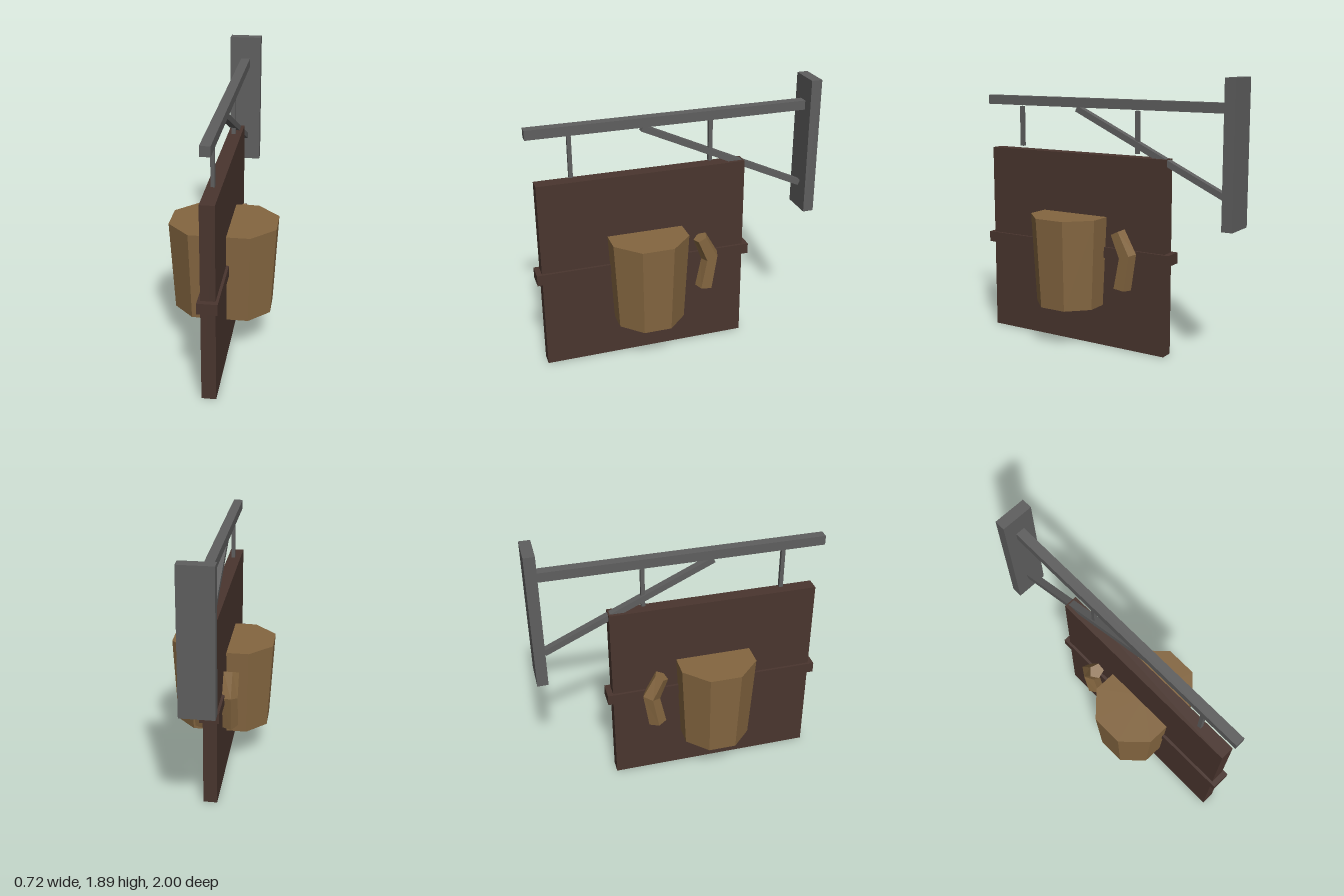
import * as THREE from 'three';

export function createModel() {
  const model = new THREE.Group();
  model.name = 'hangingTavernSign';

  const mat = (name, color) => {
    const m = new THREE.MeshStandardMaterial({ color, flatShading: true });
    m.name = name;
    return m;
  };
  const iron = mat('iron', 0x5e5e5e);
  const darkWood = mat('darkWood', 0x49352e);
  const lightWood = mat('lightWood', 0x846640);

  const add = (name, geometry, material, x = 0, y = 0, z = 0) => {
    const mesh = new THREE.Mesh(geometry, material);
    mesh.name = name;
    mesh.position.set(x, y, z);
    model.add(mesh);
    return mesh;
  };
  // Box given by its width and its y and z ranges
  const slab = (name, material, w, y0, y1, z0, z1) =>
    add(name, new THREE.BoxGeometry(w, y1 - y0, z1 - z0), material, -0.003, (y0 + y1) / 2, (z0 + z1) / 2);

  // Wall bracket
  slab('wallPlate', iron, 0.226, 0.93, 1.89, -1, -0.925);
  slab('beam', iron, 0.066, 1.665, 1.73, -0.925, 1);
  const brace = add('brace', new THREE.BoxGeometry(0.048, 0.042, 1.27), iron, -0.003, 1.388, -0.345);
  brace.rotation.x = -0.435;
  for (const z of [0.715, -0.248]) slab('hanger', iron, 0.026, 1.37, 1.657, z - 0.0135, z + 0.0135);

  // Sign board with its cross band
  slab('board', darkWood, 0.095, 0, 1.35, -0.487, 0.955);
  slab('band', darkWood, 0.132, 0.64, 0.715, -0.527, 0.992);

  // Mug: tapered octagon, its two halves pushed apart to stand out of both faces
  const c = Math.cos(Math.PI / 8);
  const mug = new THREE.CylinderGeometry(0.265 / c, 0.232 / c, 0.632, 8, 1);
  mug.rotateY(Math.PI / 8);
  const p = mug.attributes.position;
  for (let i = 0; i < p.count; i++) {
    const x = p.getX(i);
    if (Math.abs(x) > 0.001) p.setX(i, x + Math.sign(x) * 0.095);
  }
  mug.computeVertexNormals();
  add('mug', mug, lightWood, -0.002, 0.609, 0.231);

  // Bent five-sided handle on each face
  for (const x of [-0.098, 0.093]) add('mugHandle', handleGeometry(), lightWood, x, 0, 0);

  return model;
}

// Pentagon sections joined from top to bottom, with flat ends
function handleGeometry() {
  const sides = 5, r = 0.057;
  // centre y, centre z, half-width direction y, z
  const sections = [
    [0.84, -0.153, 0.022, -0.044],
    [0.681, -0.228, 0.018, -0.06],
    [0.45, -0.187, -0.008, -0.062],
  ];
  const verts = [], index = [];
  for (const [y, z, dy, dz] of sections) {
    for (let i = 0; i < sides; i++) {
      const a = (i / sides) * Math.PI * 2;
      const s = Math.sin(a) / 0.951;
      verts.push(-r * Math.cos(a), y + dy * s, z + dz * s);
    }
  }
  for (let k = 0; k < sections.length - 1; k++) {
    for (let i = 0; i < sides; i++) {
      const a = k * sides + i, b = k * sides + (i + 1) % sides;
      index.push(a, b, a + sides, b, b + sides, a + sides);
    }
  }
  const last = (sections.length - 1) * sides;
  for (let i = 1; i < sides - 1; i++) {
    index.push(0, i + 1, i);
    index.push(last, last + i, last + i + 1);
  }
  // Sections run clockwise seen from above, so reverse every face to point outward
  const signed = signedVolume(verts, index);
  if (signed < 0) index.reverse();
  const g = new THREE.BufferGeometry();
  g.setAttribute('position', new THREE.Float32BufferAttribute(verts, 3));
  g.setIndex(index);
  const flat = g.toNonIndexed();
  flat.computeVertexNormals();
  return flat;
}

function signedVolume(verts, index) {
  const at = (i) => new THREE.Vector3().fromArray(verts, i * 3);
  let v = 0;
  for (let i = 0; i < index.length; i += 3) v += at(index[i]).dot(at(index[i + 1]).cross(at(index[i + 2])));
  return v;
}
